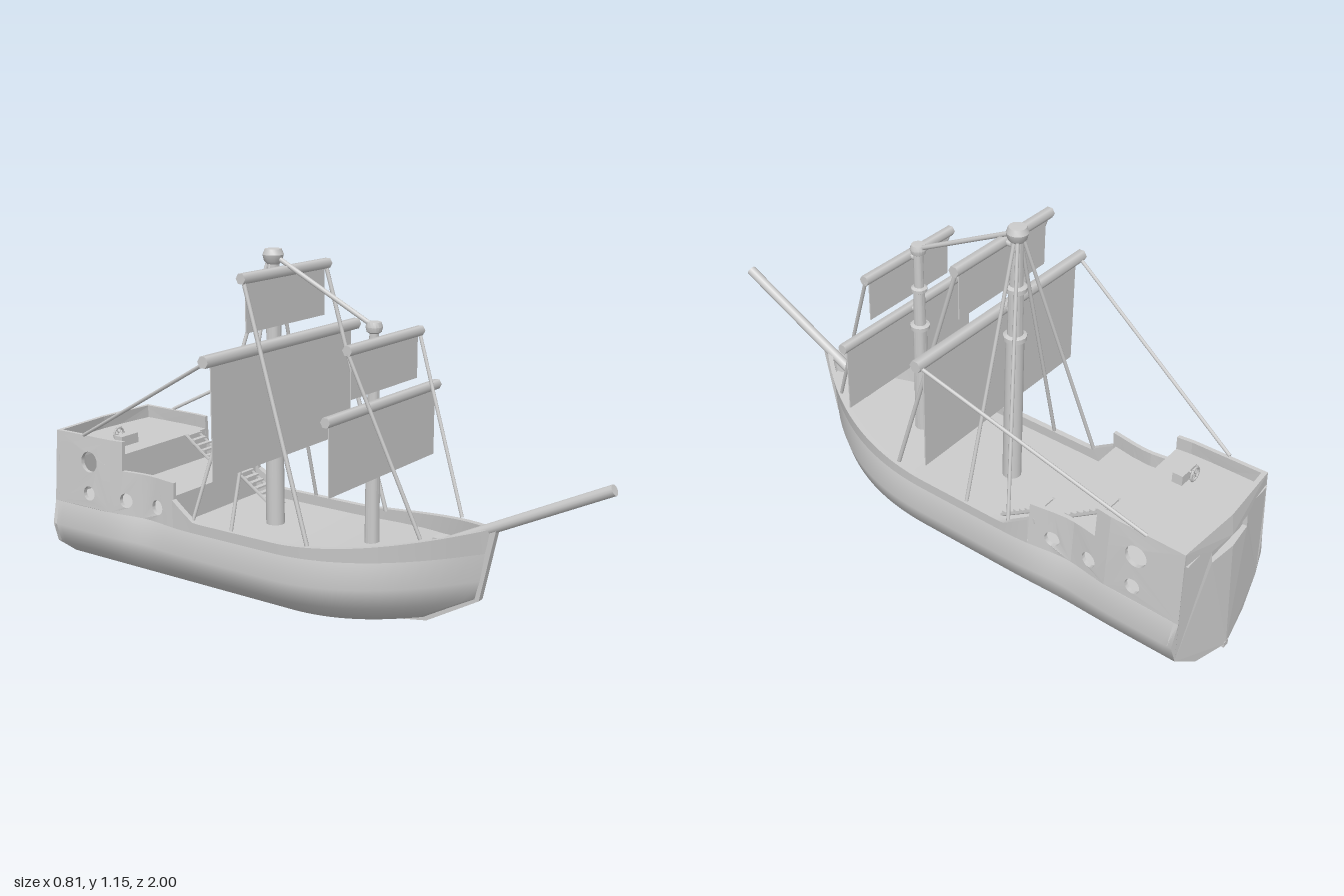
import * as THREE from 'three';
import { toCreasedNormals } from 'three/addons/utils/BufferGeometryUtils.js';

const MAT = new THREE.MeshStandardMaterial({ color: 0xcccccc, side: THREE.DoubleSide });
const V = (x, y, z) => new THREE.Vector3(x, y, z);
const lerp = THREE.MathUtils.lerp;

// Hull lines from keel to rail: midship height and half width, stem end, waist pinch
const LINES = [
  { y: 0.01, w: 0.01, zs: 0.12, ys: 0.01, pinch: 0 },
  { y: 0.03, w: 0.14, zs: 0.41, ys: 0.06, pinch: 0 },
  { y: 0.10, w: 0.238, zs: 0.585, ys: 0.16, pinch: 0.004 },
  { y: 0.17, w: 0.262, zs: 0.6, ys: 0.22, pinch: 0.012 },
  { y: 0.25, w: 0.242, zs: 0.615, ys: 0.31, pinch: 0.022 },
  { y: 0.285, w: 0.24, zs: 0.63, ys: 0.39, pinch: 0.022 },
];
const dip = z => Math.exp(-(((z + 0.55) / 0.11) ** 2));
const sternZ = (x, y) => lerp(-1 + Math.max(0, y - 0.2) * 0.13, -0.955 + Math.max(0, y - 0.25) * 0.04, Math.abs(x) / 0.25);
const sideX = (z, y) => 0.242 - (y - 0.25) * 0.05 - 0.022 * dip(z);

// Point on hull line j at length z, moved inboard by inset
function hullPoint(j, z, inset = 0) {
  const l = LINES[j];
  const s = Math.max(0, z) / l.zs;
  let y = l.y + (l.ys - l.y) * s ** 1.5;
  if (j === 5) y += 0.06 * THREE.MathUtils.clamp((-0.33 - z) / 0.09, 0, 1);
  const w = (l.w - l.pinch * dip(z)) * (1 - s ** 2.4);
  return V(Math.max(w - inset, 0.004), y, z);
}

// Skin a list of equally long cross-sections
function loft(sections, crease = 0.6) {
  const n = sections[0].length, index = [];
  for (let i = 0; i < sections.length - 1; i++)
    for (let k = 0; k < n - 1; k++) {
      const a = i * n + k, b = a + n;
      index.push(a, b, a + 1, b, b + 1, a + 1);
    }
  const g = new THREE.BufferGeometry().setFromPoints(sections.flat());
  g.setIndex(index);
  return toCreasedNormals(g, crease);
}

const mirror = p => V(-p.x, p.y, p.z);
const range = n => Array.from({ length: n + 1 }, (_, i) => i / n);

export function createModel() {
  const root = new THREE.Group();
  const add = (name, geo, x = 0, y = 0, z = 0, parent = root) => {
    const m = new THREE.Mesh(geo, MAT);
    m.name = name;
    m.position.set(x, y, z);
    parent.add(m);
    return m;
  };
  const box = (name, w, h, d, x, y, z) => add(name, new THREE.BoxGeometry(w, h, d), x, y, z);
  const rod = (name, a, b, r, sides = 8) => {
    const m = add(name, new THREE.CylinderGeometry(r, r, a.distanceTo(b), sides));
    m.position.copy(a).lerp(b, 0.5);
    m.quaternion.setFromUnitVectors(V(0, 1, 0), b.clone().sub(a).normalize());
    return m;
  };

  // Hull below the deck line
  add('hull', loft(range(44).map(v => {
    const half = [0, 1, 2, 3, 4].map(j => {
      const l = LINES[j];
      return hullPoint(j, lerp(sternZ(l.w, l.y), l.zs, v));
    });
    return [...half.map(mirror).reverse(), ...half];
  }), 0.9));

  // Bulwark with an outer face, flat cap and inner face
  const bulwark = loft(range(36).map(v =>
    [[4, 0], [5, -0.004], [5, 0.016], [4, 0.016]].map(([j, inset]) => hullPoint(j, lerp(-0.42, LINES[j].zs, v), inset))));
  // Aft sides with portholes; each panel is bent to the hull's width
  const panels = [
    { pts: [[-0.42, 0.25], [-0.42, 0.4], [-0.46, 0.4], [-0.5, 0.4], [-0.54, 0.4], [-0.57, 0.4], [-0.57, 0.25], [-0.54, 0.25], [-0.5, 0.25], [-0.46, 0.25]], holes: [[-0.5, 0.3, 0.025]] },
    { pts: [[-0.57, 0.25], [-0.57, 0.4], [-0.61, 0.4], [-0.65, 0.4], [-0.65, 0.5], [-0.7, 0.5], [-0.7, 0.4], [-0.7, 0.25], [-0.65, 0.25], [-0.61, 0.25]], holes: [[-0.635, 0.3, 0.025]] },
    { pts: [[-0.7, 0.25], [-0.7, 0.4], [-0.7, 0.5], [-0.947, 0.5], [-0.953, 0.25]], holes: [[-0.795, 0.3, 0.025], [-0.795, 0.41, 0.036]] },
  ];
  const panelGeos = panels.map(({ pts, holes }) => {
    const shape = new THREE.Shape(pts.map(p => new THREE.Vector2(...p)));
    for (const [z, y, r] of holes) shape.holes.push(new THREE.Path().absarc(z, y, r, 0, Math.PI * 2, true));
    const g = new THREE.ExtrudeGeometry(shape, { depth: 0.014, bevelEnabled: false, curveSegments: 16 });
    const p = g.attributes.position;
    for (let i = 0; i < p.count; i++) {
      const z = p.getX(i), y = p.getY(i);
      p.setXYZ(i, sideX(z, y) - p.getZ(i), y, z);
    }
    return toCreasedNormals(g, 0.5);
  });

  // Half transom with half of the stern window, folded along the centre line
  const transomShape = new THREE.Shape([[0, 0.01], [0.14, 0.03], [0.238, 0.1], [0.262, 0.17], [0.242, 0.25], [0.23, 0.5],
    [0, 0.5], [0, 0.43], [0.1, 0.43], [0.1, 0.39], [0, 0.39]].map(p => new THREE.Vector2(...p)));
  const transom = new THREE.ExtrudeGeometry(transomShape, { depth: 0.015, bevelEnabled: false });
  const tp = transom.attributes.position;
  for (let i = 0; i < tp.count; i++) tp.setZ(i, tp.getZ(i) + sternZ(tp.getX(i), tp.getY(i)));
  transom.computeVertexNormals();

  for (const s of [1, -1]) {
    const side = new THREE.Group();
    side.name = s > 0 ? 'leftSide' : 'rightSide';
    side.scale.x = s;
    root.add(side);
    add('bulwark', bulwark, 0, 0, 0, side);
    panelGeos.forEach(g => add('portholePanel', g, 0, 0, 0, side));
    add('transom', transom, 0, 0, 0, side);
  }
  box('sternWindowBack', 0.22, 0.06, 0.005, 0, 0.41, -0.945);

  // Keel and stem post
  const keelShape = new THREE.Shape([[-1, 0], [0.12, 0], [0.41, 0.05], [0.59, 0.155], [0.64, 0.39], [0.615, 0.39],
    [0.57, 0.17], [0.4, 0.07], [0.12, 0.02], [-1, 0.02]].map(p => new THREE.Vector2(...p)));
  const keel = new THREE.ExtrudeGeometry(keelShape, { depth: 0.024, bevelEnabled: false });
  keel.rotateY(-Math.PI / 2);
  add('keel', keel, 0.012);

  // Decks and the bulkheads between them
  add('mainDeck', loft(range(30).map(v => {
    const p = hullPoint(4, lerp(-0.95, 0.612, v), 0.005);
    return [mirror(p), p];
  })));
  const deck = (name, y, z0, z1) => add(name, loft(range(10).map(v => {
    const z = lerp(z0, z1, v), x = sideX(z, y) - 0.008;
    return [V(-x, y, z), V(x, y, z)];
  })));
  deck('middleDeck', 0.35, -0.655, -0.435);
  deck('aftDeck', 0.455, -0.955, -0.655);
  box('middleBulkhead', 0.46, 0.1, 0.008, 0, 0.3, -0.435);
  box('aftBulkhead', 0.43, 0.105, 0.008, 0, 0.4025, -0.655);

  // Stairs
  const stairs = (x, y, z, rise) => {
    const steps = 7, run = 0.15, w = 0.065;
    for (let i = 1; i <= steps; i++)
      box('stairTread', w, 0.006, 0.018, x, y + rise * i / steps, z - run * (i - 0.5) / steps);
    for (const s of [-1, 1])
      rod('stairStringer', V(x + s * w / 2, y, z), V(x + s * w / 2, y + rise, z - run), 0.006, 4);
  };
  stairs(0.15, 0.25, -0.28, 0.1);
  stairs(0.133, 0.35, -0.5, 0.105);

  // Steering stand and wheel
  box('steeringStand', 0.08, 0.035, 0.035, -0.105, 0.472, -0.74);
  add('steeringWheel', new THREE.TorusGeometry(0.022, 0.004, 6, 16), -0.105, 0.485, -0.775);
  for (let i = 0; i < 3; i++) {
    const a = i * Math.PI / 3, c = Math.cos(a) * 0.028, d = Math.sin(a) * 0.028;
    rod('wheelSpoke', V(-0.105 - c, 0.485 - d, -0.775), V(-0.105 + c, 0.485 + d, -0.775), 0.002, 5);
  }
  rod('wheelAxle', V(-0.105, 0.485, -0.775), V(-0.105, 0.485, -0.74), 0.004);

  // Bowsprit and its foot
  rod('bowsprit', V(0, 0.305, 0.45), V(0, 0.573, 0.993), 0.017, 12);
  box('bowspritFoot', 0.05, 0.05, 0.045, 0, 0.305, 0.455);

  // Masts turned from profiles of radius and height
  const mast = (name, z, profile) =>
    add(name, toCreasedNormals(new THREE.LatheGeometry(profile.map(p => new THREE.Vector2(...p)), 16), 0.6), 0, 0, z);
  mast('mainMast', -0.18, [[0.031, 0.24], [0.029, 0.765], [0.037, 0.77], [0.037, 0.785], [0.025, 0.79], [0.024, 0.935],
    [0.034, 0.94], [0.034, 0.955], [0.021, 0.96], [0.02, 1.105], [0.029, 1.115], [0.034, 1.135], [0.027, 1.153], [0, 1.154]]);
  mast('foreMast', 0.2, [[0.024, 0.24], [0.022, 0.65], [0.032, 0.655], [0.032, 0.668], [0.02, 0.672], [0.018, 0.79],
    [0.026, 0.795], [0.026, 0.805], [0.016, 0.81], [0.015, 0.925], [0.023, 0.93], [0.027, 0.945], [0.022, 0.96], [0, 0.961]]);

  // Yards with their sails: y, z, half length, radius, sail half width, sail bottom
  for (const [name, y, z, half, r, w, low] of [
    ['mainLower', 0.863, -0.135, 0.405, 0.02, 0.37, 0.49],
    ['mainUpper', 1.088, -0.13, 0.228, 0.018, 0.205, 0.92],
    ['foreLower', 0.717, 0.24, 0.315, 0.017, 0.297, 0.487],
    ['foreUpper', 0.908, 0.24, 0.205, 0.017, 0.185, 0.76]]) {
    rod(name + 'Yard', V(-half, y, z), V(half, y, z), r, 6);
    box(name + 'Sail', w * 2, y - low, 0.004, 0, (y + low) / 2, z);
    rod(name + 'Bracket', V(0, y, z), V(0, y, z - 0.045), 0.009);
  }

  // Rigging
  rod('topStay', V(0, 1.135, -0.18), V(0, 0.945, 0.2), 0.008);
  for (const s of [-1, 1]) {
    rod('foreRope', V(s * 0.2, 0.9, 0.24), V(s * 0.125, 0.355, 0.45), 0.006);
    rod('mainRope', V(s * 0.215, 1.085, -0.13), V(s * 0.222, 0.285, 0.11), 0.007);
    rod('aftRope', V(s * 0.392, 0.86, -0.135), V(s * 0.228, 0.5, -0.82), 0.006);
    rod('shroud', V(s * 0.012, 1.12, -0.19), V(s * 0.228, 0.29, -0.34), 0.006);
    rod('shroud', V(s * 0.012, 1.12, -0.18), V(s * 0.232, 0.285, -0.18), 0.006);
  }
  return root;
}
